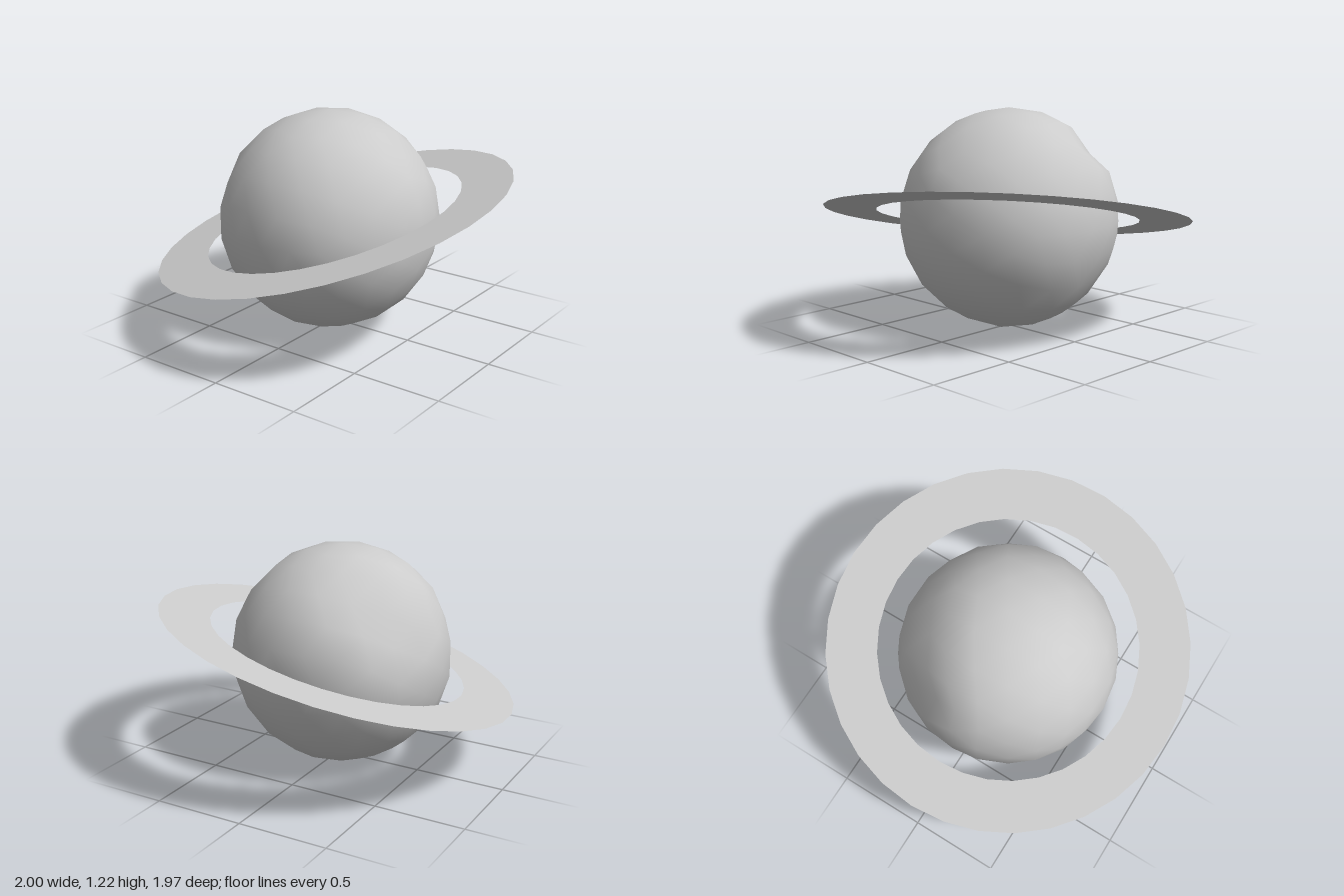
import * as THREE from 'three';
import { mergeVertices } from 'three/addons/utils/BufferGeometryUtils.js';

const RADIUS = 0.61;

// Dents: direction from the planet's centre, depth, reach
const DENTS = [
  { at: [0.24, 0.26, -0.49], depth: 0.075, reach: 0.16 },
  { at: [0.38, 0.41, -0.23], depth: 0.05, reach: 0.16 },
  { at: [0.06, 0.40, 0.45], depth: 0.02, reach: 0.14 },
  { at: [0.53, -0.28, -0.13], depth: 0.025, reach: 0.15 },
  { at: [-0.32, 0.10, -0.51], depth: 0.02, reach: 0.15 },
];

// Low-poly, smooth-shaded ball with shallow dents pressed into it
function planetGeometry() {
  let geo = new THREE.IcosahedronGeometry(RADIUS, 3);
  geo.deleteAttribute('normal');
  geo.deleteAttribute('uv');
  geo = mergeVertices(geo, 1e-4);
  const pos = geo.attributes.position;
  const p = new THREE.Vector3();
  const dents = DENTS.map(d => ({
    ...d, centre: new THREE.Vector3(...d.at).setLength(RADIUS),
  }));
  for (let i = 0; i < pos.count; i++) {
    p.fromBufferAttribute(pos, i);
    let push = 0;
    for (const d of dents) {
      const t = p.distanceTo(d.centre) / d.reach;
      if (t < 1) push += d.depth * (1 - t * t);
    }
    p.setLength(RADIUS - push);
    pos.setXYZ(i, p.x, p.y, p.z);
  }
  geo.computeVertexNormals();
  return geo;
}

export function createModel() {
  const group = new THREE.Group();
  group.name = 'ringedPlanet';

  const planet = new THREE.Mesh(
    planetGeometry(),
    new THREE.MeshStandardMaterial({ color: 0xcccccc }),
  );
  planet.name = 'planet';
  planet.position.set(-0.01, 0.61, -0.02);
  group.add(planet);

  // Flat tilted ring, high at the front and at +x
  const ring = new THREE.Mesh(
    new THREE.RingGeometry(0.728, 1.013, 32),
    new THREE.MeshStandardMaterial({ color: 0xcccccc, side: THREE.DoubleSide }),
  );
  ring.name = 'ring';
  const normal = new THREE.Vector3(-0.165, 1, -0.235).normalize();
  ring.quaternion.setFromUnitVectors(new THREE.Vector3(0, 1, 0), normal);
  ring.geometry.rotateX(-Math.PI / 2);
  ring.position.set(0, 0.617, 0);
  group.add(ring);

  return group;
}
